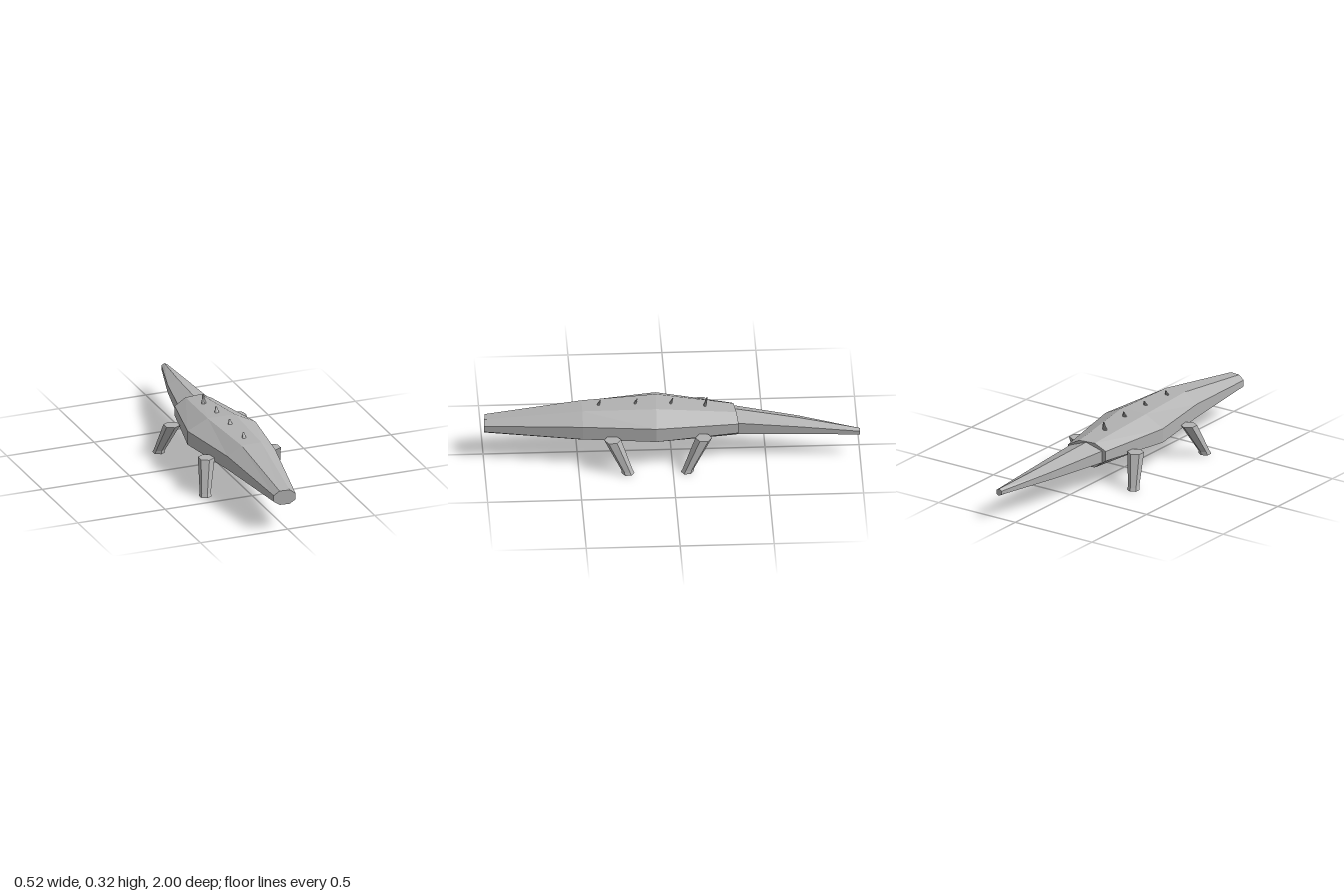
import * as THREE from 'three';

const hide = new THREE.MeshStandardMaterial({ color: 0xb2b2b2, flatShading: true });
hide.name = 'grey hide';

// Joins rings of points (counterclockwise about the travel direction) and caps both ends.
function loft(name, rings) {
  const n = rings[0].length, index = [];
  const last = (rings.length - 1) * n;
  for (let r = 0; r < rings.length - 1; r++) {
    for (let j = 0; j < n; j++) {
      const a = r * n + j, b = r * n + (j + 1) % n;
      index.push(a, b, b + n, a, b + n, a + n);
    }
  }
  for (let j = 1; j < n - 1; j++) {
    index.push(0, j + 1, j);
    index.push(last, last + j, last + j + 1);
  }
  const indexed = new THREE.BufferGeometry();
  indexed.setAttribute('position', new THREE.Float32BufferAttribute(rings.flat(2), 3));
  indexed.setIndex(index);
  const geometry = indexed.toNonIndexed();
  geometry.computeVertexNormals();
  const mesh = new THREE.Mesh(geometry, hide);
  mesh.name = name;
  return mesh;
}

// Eight-sided body section: x centre, half widths, heights, z and yaw slope
function octagon([z, cx, w, flat, bottom, low, high, top, slope]) {
  return [[w, low], [w, high], [flat, top], [-flat, top], [-w, high], [-w, low], [-flat, bottom], [flat, bottom]]
    .map(([x, y]) => [cx + x, y, z + x * slope]);
}

// Six-sided tail section with a ridge on top
function ridged([z, cx, w, cy, h, slope]) {
  return [[w, -0.5], [w, 0.5], [0, 1], [-w, 0.5], [-w, -0.5], [0, -1]]
    .map(([x, y]) => [cx + x, cy + y * h, z + x * slope]);
}

// Level ring for legs and spikes
function levelRing(x, y, z, rx, rz, sides) {
  return Array.from({ length: sides }, (_, i) => {
    const t = i / sides * Math.PI * 2;
    return [x + Math.sin(t) * rx, y, z + Math.cos(t) * rz];
  });
}

export function createModel() {
  const model = new THREE.Group();
  model.name = 'reptile';

  // Body, from hips to snout
  model.add(loft('body', [
    [-0.34, 0.003, 0.112, 0.046, 0.112, 0.16, 0.215, 0.25, -0.13],
    [0.08, -0.005, 0.192, 0.078, 0.103, 0.16, 0.238, 0.295, 0.03],
    [0.475, 0.006, 0.136, 0.057, 0.112, 0.16, 0.235, 0.287, 0],
    [0.992, -0.014, 0.06, 0.028, 0.142, 0.164, 0.199, 0.222, 0.1]
  ].map(octagon)));

  // Tail, sweeping to the left
  model.add(loft('tail', [
    [-1, 0.107, 0.017, 0.147, 0.02, 0],
    [-0.68, 0.053, 0.06, 0.165, 0.043, -0.08],
    [-0.335, 0.008, 0.096, 0.18, 0.067, -0.13]
  ].map(ridged)));

  // Legs in a diagonal stride
  for (const [name, side, z, step] of [
    ['frontLeftLeg', 1, 0.32, -0.08],
    ['frontRightLeg', -1, 0.32, 0.09],
    ['backLeftLeg', 1, -0.165, 0.09],
    ['backRightLeg', -1, -0.165, -0.08]
  ]) {
    model.add(loft(name, [
      levelRing(side * 0.232, 0, z + step, 0.034, 0.034, 6),
      levelRing(side * 0.23, 0.018, z + step * 0.93, 0.03, 0.03, 6),
      levelRing(side * 0.19, 0.181, z, 0.045, 0.045, 6)
    ]));
  }

  // Back spikes, leaning backwards
  [[0.39, 0.28], [0.195, 0.285], [0.005, 0.28], [-0.178, 0.262]].forEach(([z, base], i) => {
    model.add(loft('backSpike' + (i + 1), [
      levelRing(0, base, z, 0.015, 0.009, 6),
      levelRing(0, 0.316, z - 0.014, 0.005, 0.003, 6)
    ]));
  });

  return model;
}
